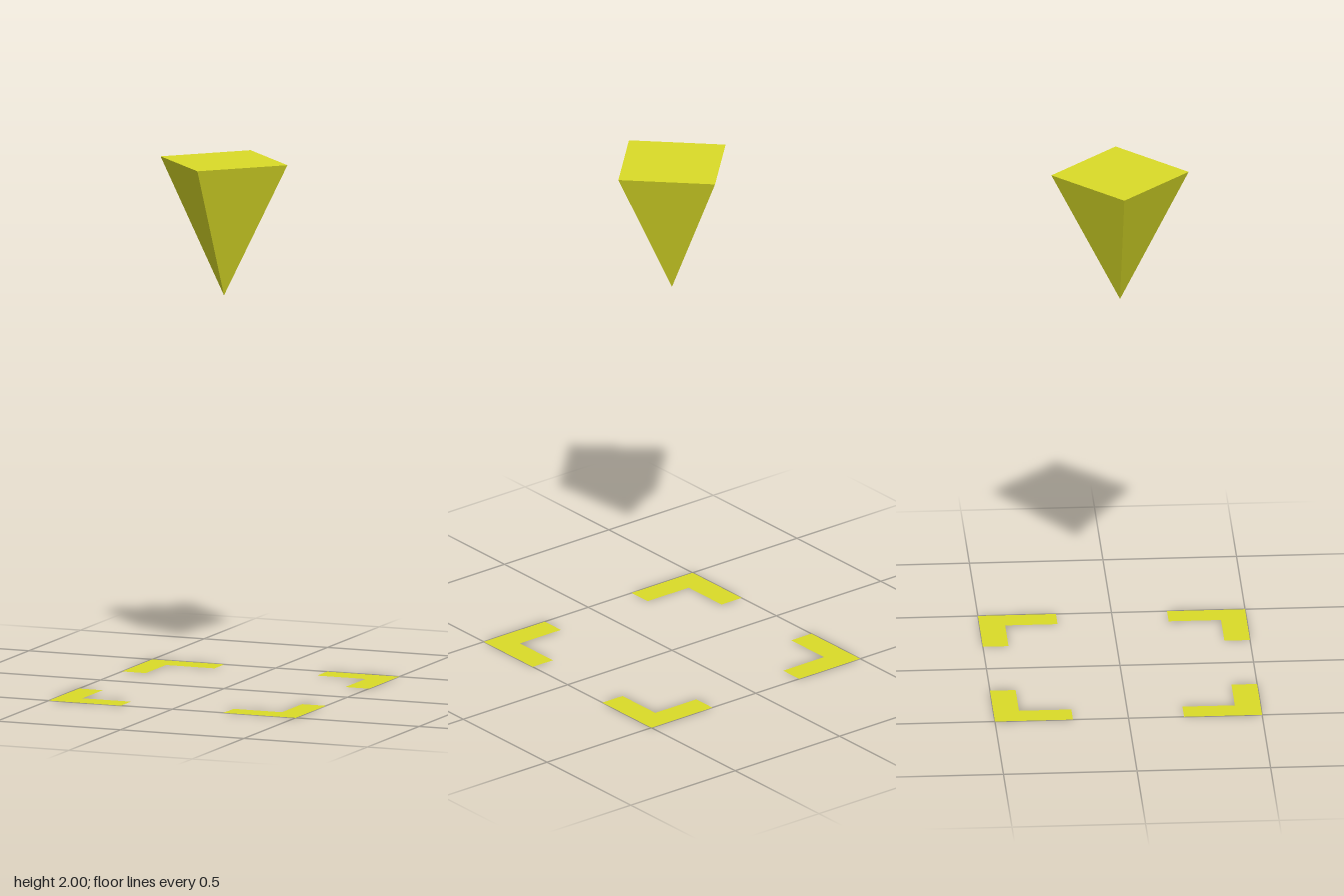
import * as THREE from 'three';

export function createModel() {
  const model = new THREE.Group();
  const yellow = new THREE.MeshStandardMaterial({ color: 0xdadc28, flatShading: true, side: THREE.DoubleSide });
  yellow.name = 'yellow';

  // Floating four-sided pointer, tip down
  const height = 0.51;
  const pointer = new THREE.Mesh(new THREE.ConeGeometry(0.257, height, 4), yellow);
  pointer.name = 'pointer';
  pointer.rotation.x = Math.PI;
  pointer.position.y = 2 - height / 2;
  model.add(pointer);

  // Flat L-shaped bracket lying on the ground, repeated at each corner
  const outer = 0.5, inner = 0.404, end = 0.208;
  const bracket = new THREE.Shape([
    [end, inner], [inner, inner], [inner, end], [outer, end], [outer, outer], [end, outer],
  ].map(([x, y]) => new THREE.Vector2(x, y)));
  const bracketGeometry = new THREE.ShapeGeometry(bracket).rotateX(-Math.PI / 2);
  for (let i = 0; i < 4; i++) {
    const corner = new THREE.Mesh(bracketGeometry, yellow);
    corner.name = `cornerBracket${i + 1}`;
    corner.rotation.y = i * Math.PI / 2;
    model.add(corner);
  }
  return model;
}
